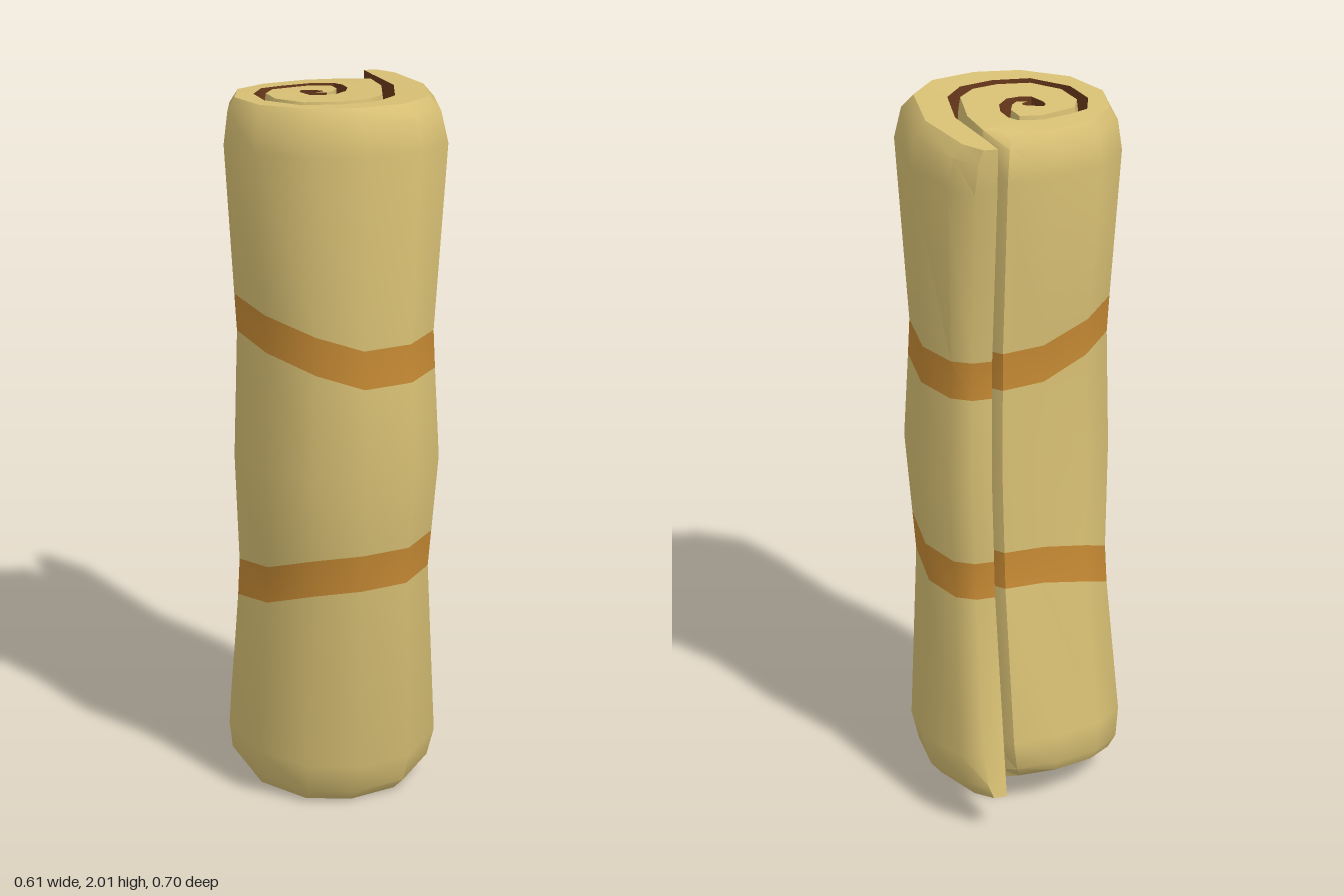
import * as THREE from 'three';
import { toCreasedNormals } from 'three/addons/utils/BufferGeometryUtils.js';

// Spiral cross-section [x, z] from the loose flap to the core: outside face and inside face
const OUTER = [
  [.21, -.315], [.265, -.26], [.305, -.06], [.27, .17], [.17, .28], [.02, .315], [-.12, .29],
  [-.25, .2], [-.31, .05], [-.28, -.11], [-.18, -.215], [-.03, -.26], [.10, -.26], [.145, -.18],
  [.148, -.06], [.115, .095], [.06, .15], [-.02, .168], [-.115, .152], [-.18, .075], [-.19, -.02],
  [-.16, -.08], [-.045, -.12], [.013, -.105], [.018, -.05], [0, -.01], [-.02, .012],
];
const INNER = [
  [.15, -.32], [.155, -.25], [.174, -.06], [.14, .10], [.08, .17], [-.02, .195], [-.125, .18],
  [-.205, .085], [-.215, -.02], [-.18, -.10], [-.12, -.125], [-.04, -.145], [.025, -.13], [.042, -.10],
  [.045, -.05], [.03, 0], [-.005, .04], [-.04, .045], [-.075, .035], [-.09, -.01], [-.09, -.03],
  [-.08, -.045], [-.04, -.03], [-.03, -.02], [-.03, -.01], [-.045, 0], [-.06, 0],
];
const FIRST_INSIDE = 13; // first column hidden under the flap

// Squeeze along the height: [y, x scale, back z scale, z shift]
const SQUEEZE = [
  [.1, 1, 1, -.03], [.65, .88, .62, -.01], [1, .94, .77, .035], [1.35, .89, .64, .01], [1.9, 1, 1, .03],
];

function squeezeAt(y) {
  const last = SQUEEZE.length - 1;
  if (y <= SQUEEZE[0][0]) return SQUEEZE[0];
  if (y >= SQUEEZE[last][0]) return SQUEEZE[last];
  const k = SQUEEZE.findIndex((row) => row[0] > y);
  const a = SQUEEZE[k - 1], b = SQUEEZE[k];
  const t = (y - a[0]) / (b[0] - a[0]);
  return a.map((v, n) => v + (b[n] - v) * t);
}

// Heights of the rows for one column; the straps slant on the -x side
function rowHeights([x, z]) {
  const bottom = .05 - .18 * z, top = 1.985 + .05 * z;
  const side = Math.min(1, Math.max(0, -x / .31));
  const low = .715 - .095 * side * side, high = 1.3 + .1 * side;
  return [bottom, bottom + .035, bottom + .12, low - .055, low + .055, 1,
    high - .05, high + .055, top - .12, top - .035, top];
}
const ROWS = 11;
const LOW_STRAP = 3, HIGH_STRAP = 6;

function column(base, toward, bevel) {
  return rowHeights(base).map((y, j) => {
    const end = Math.min(j, ROWS - 1 - j);
    const f = end === 0 ? bevel : end === 1 ? bevel * .4 : 0;
    const x = base[0] + (toward[0] - base[0]) * f;
    const z = base[1] + (toward[1] - base[1]) * f;
    const [, sx, sBack, shift] = squeezeAt(y);
    return [x * sx, y, z * (z < 0 ? sBack : 1) + shift];
  });
}

function quad(list, a, b, c, d) {
  list.push(...a, ...b, ...c, ...a, ...c, ...d);
}

function surface(parts, crease) {
  const geometry = new THREE.BufferGeometry();
  geometry.setAttribute('position', new THREE.Float32BufferAttribute(parts.flat(), 3));
  const result = toCreasedNormals(geometry, crease);
  let start = 0;
  parts.forEach((part, n) => {
    result.addGroup(start, part.length / 3, n);
    start += part.length / 3;
  });
  return result;
}

function material(name, color) {
  const m = new THREE.MeshStandardMaterial({ color });
  m.name = name;
  return m;
}

export function createModel() {
  const tan = material('tanCloth', 0xd8c074);
  const orange = material('orangeStrap', 0xc68a34);
  const brown = material('brownLining', 0x6b3a1c);

  const outer = OUTER.map((p, i) => column(p, INNER[i], i < FIRST_INSIDE ? .38 : .08));
  const inner = INNER.map((p, i) => column(p, OUTER[i], 0));
  const last = OUTER.length - 1, top = ROWS - 1;
  const cloth = [], straps = [], lining = [];

  for (let j = 0; j < top; j++) {
    const face = j === LOW_STRAP || j === HIGH_STRAP ? straps : cloth;
    // Outside and lining of the rolled sheet
    for (let i = 0; i < last; i++) {
      quad(face, outer[i][j], outer[i][j + 1], outer[i + 1][j + 1], outer[i + 1][j]);
      quad(lining, inner[i + 1][j], inner[i + 1][j + 1], inner[i][j + 1], inner[i][j]);
    }
    // Flap edge and core edge
    quad(face, inner[0][j], inner[0][j + 1], outer[0][j + 1], outer[0][j]);
    quad(lining, outer[last][j], outer[last][j + 1], inner[last][j + 1], inner[last][j]);
  }
  // Spiral ends
  for (let i = 0; i < last; i++) {
    quad(cloth, inner[i][top], inner[i + 1][top], outer[i + 1][top], outer[i][top]);
    quad(cloth, outer[i][0], outer[i + 1][0], inner[i + 1][0], inner[i][0]);
  }

  const roll = new THREE.Mesh(surface([cloth, straps], .75), [tan, orange]);
  roll.name = 'rolledSheetWithStraps';
  const inside = new THREE.Mesh(surface([lining], .75), [brown]);
  inside.name = 'sheetLining';

  const group = new THREE.Group();
  group.name = 'bedroll';
  group.add(roll, inside);
  return group;
}
